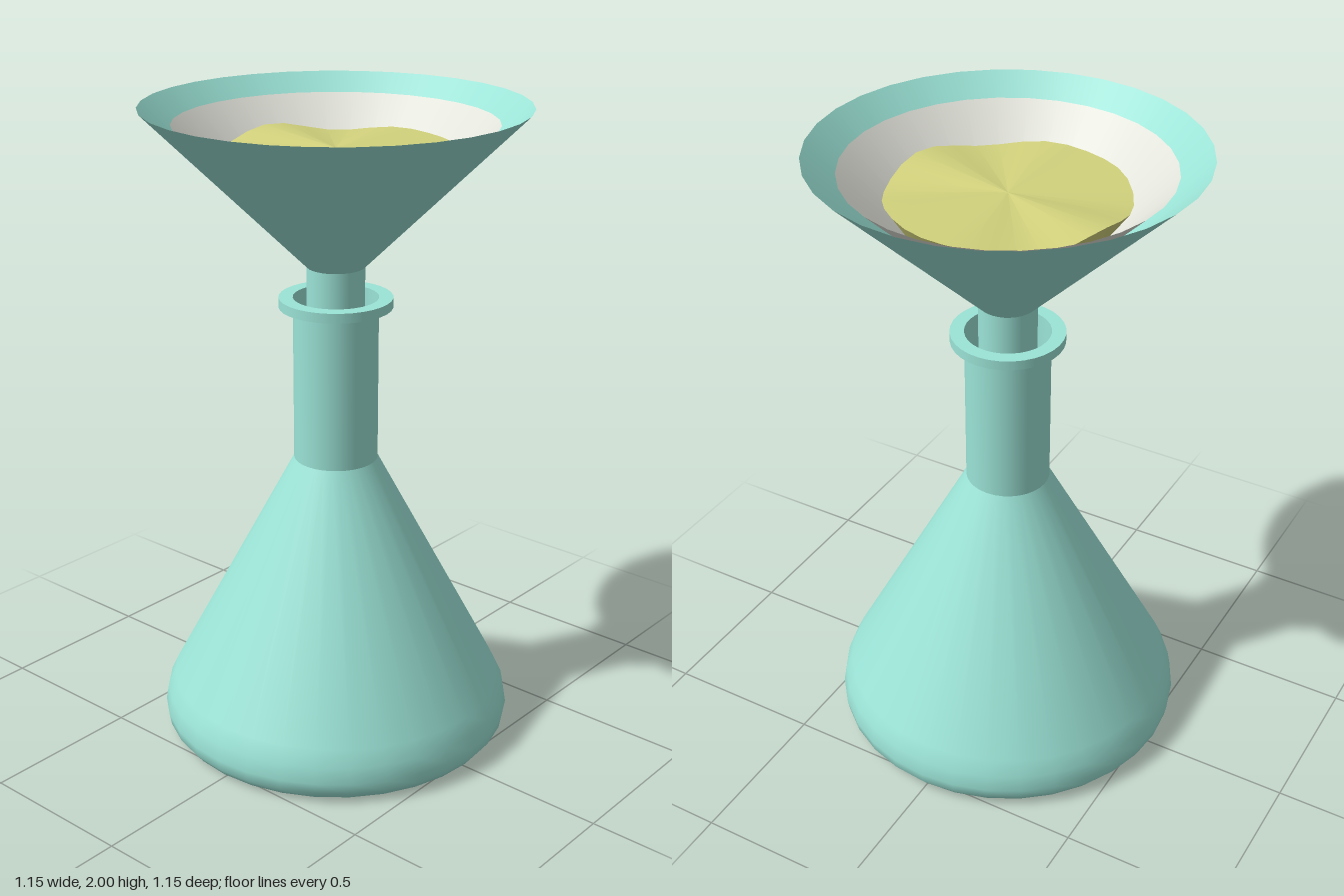
import * as THREE from 'three';

const SIDES = 32;

export function createModel() {
  const group = new THREE.Group();
  group.name = 'flaskWithFunnel';

  const material = (name, color) => {
    const m = new THREE.MeshStandardMaterial({ color, side: THREE.DoubleSide });
    m.name = name;
    return m;
  };
  const glass = material('tealGlass', 0x9be3d6);
  const paper = material('filterPaper', 0xe2e3da);
  const powder = material('yellowResidue', 0xd2d27d);

  // Revolves a [radius, height] profile around the vertical axis
  const lathe = (name, mat, profile) => {
    const geometry = new THREE.LatheGeometry(profile.map(([r, y]) => new THREE.Vector2(r, y)), SIDES);
    const mesh = new THREE.Mesh(geometry, mat);
    mesh.name = name;
    group.add(mesh);
    return mesh;
  };

  // Conical flask: rounded foot, sloping body, open neck
  lathe('flaskBody', glass, [
    [0, 0], [0.5, 0], [0.53, 0.01], [0.549, 0.035], [0.555, 0.07],
    [0.546, 0.12], [0.523, 0.17], [0.13, 0.91],
  ]);
  lathe('flaskNeck', glass, [[0.13, 0.91], [0.13, 1.4]]);

  // Flat lip ring around the mouth
  lathe('lipUnderside', glass, [[0.13, 1.395], [0.173, 1.395]]);
  lathe('lipEdge', glass, [[0.173, 1.395], [0.173, 1.425]]);
  lathe('lipTop', glass, [[0.173, 1.425], [0.13, 1.425]]);
  lathe('lipInside', glass, [[0.13, 1.425], [0.13, 1.395]]);

  // Funnel: stem dipping into the neck and a wide cone
  lathe('funnelStem', glass, [[0.088, 1.1], [0.088, 1.52]]);
  lathe('funnelCone', glass, [[0.088, 1.52], [0.573, 2]]);

  // Filter paper lining the cone
  lathe('filterPaper', paper, [[0.01, 1.485], [0.478, 1.95]]);

  // Residue with a gently wavy surface
  const wave = (a) => 0.011 * Math.sin(4 * a + 0.6) + 0.007 * Math.sin(6 * a);
  const ripple = (mesh) => {
    const p = mesh.geometry.attributes.position;
    for (let i = 0; i < p.count; i++) {
      const x = p.getX(i), z = p.getZ(i);
      const r = Math.hypot(x, z);
      if (r > 0.34) p.setY(i, p.getY(i) + wave(Math.atan2(z, x)));
    }
    mesh.geometry.computeVertexNormals();
  };
  ripple(lathe('residueSide', powder, [[0.3, 1.79], [0.353, 1.87]]));
  ripple(lathe('residueTop', powder, [[0.353, 1.87], [0, 1.875]]));

  return group;
}
